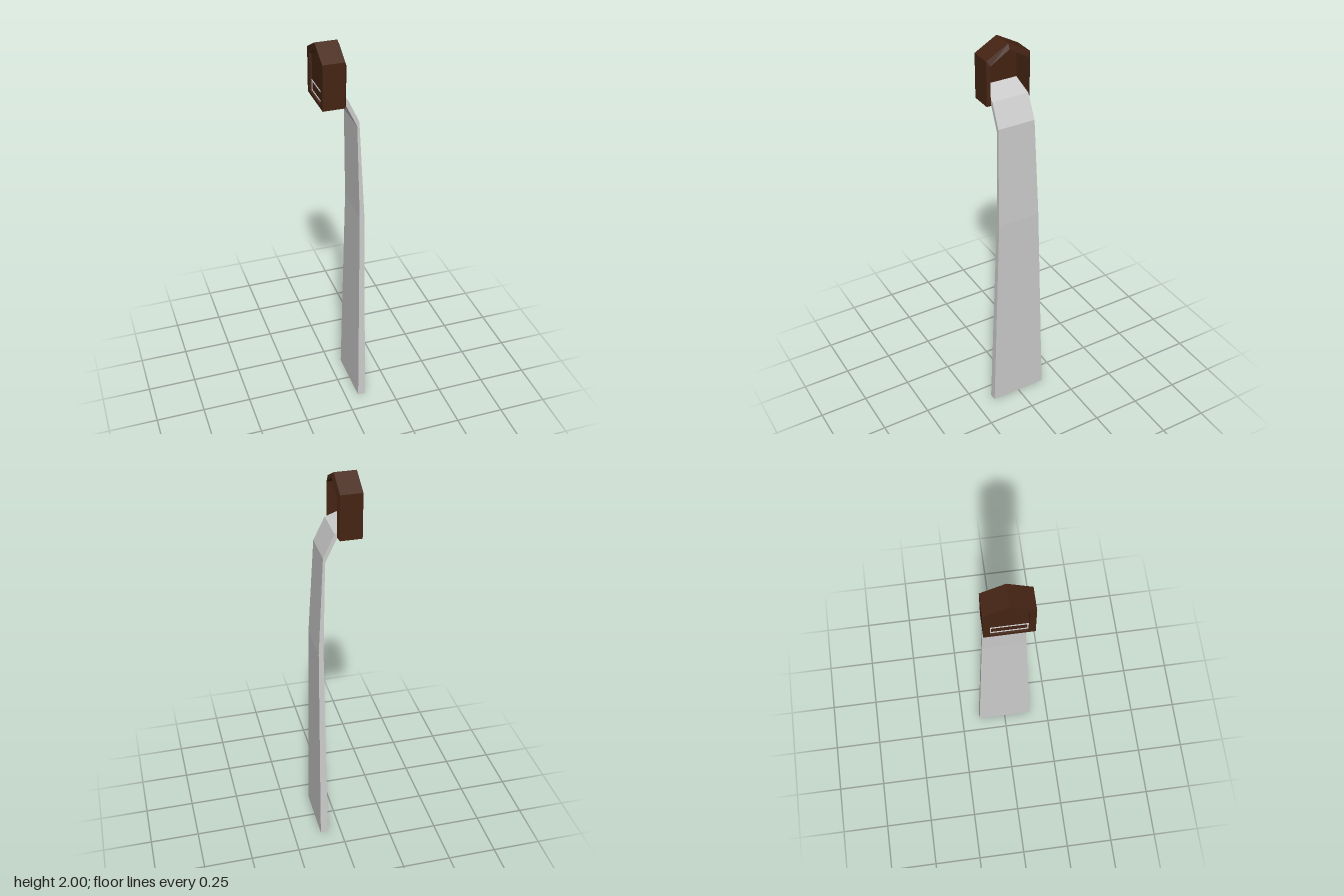
import * as THREE from 'three';

// Skin a list of equal-length rings of [x, y, z] points with flat quads.
function loft(rings) {
  const pos = [];
  for (let i = 0; i < rings.length - 1; i++) {
    const n = rings[i].length;
    for (let j = 0; j < n; j++) {
      const k = (j + 1) % n;
      const a = rings[i][j], b = rings[i][k], c = rings[i + 1][k], d = rings[i + 1][j];
      pos.push(...a, ...b, ...c, ...a, ...c, ...d);
    }
  }
  const g = new THREE.BufferGeometry();
  g.setAttribute('position', new THREE.Float32BufferAttribute(pos, 3));
  g.computeVertexNormals();
  return g;
}

// House-shaped section at x: half width, floor, eaves and ridge heights.
const gable = (x, h, floor, eave, ridge) =>
  [[x, floor, -h], [x, eave, -h], [x, ridge, 0], [x, eave, h], [x, floor, h]];

// Rectangular section between an outer and an inner point of the path.
const slab = ([ox, oy, ix, iy, h]) =>
  [[ox, oy, -h], [ox, oy, h], [ix, iy, h], [ix, iy, -h]];

const point = (x, y, n) => Array.from({ length: n }, () => [x, y, 0]);

export function createModel() {
  const model = new THREE.Group();
  const brown = new THREE.MeshStandardMaterial({ color: 0x452413, flatShading: true, side: THREE.DoubleSide });
  const grey = new THREE.MeshStandardMaterial({ color: 0xcccccc, flatShading: true, side: THREE.DoubleSide });
  const add = (name, geometry, material) => {
    const mesh = new THREE.Mesh(geometry, material);
    mesh.name = name;
    model.add(mesh);
    return mesh;
  };

  // Gabled spout: shallow recess at the back, deep opening with a bevelled lip
  add('spout', loft([
    point(-0.096, 1.84, 5),
    gable(-0.096, 0.083, 1.732, 1.915, 1.967),
    gable(-0.108, 0.083, 1.732, 1.915, 1.967),
    gable(-0.108, 0.113, 1.715, 1.938, 2.0),
    gable(-0.002, 0.113, 1.715, 1.938, 2.0),
    gable(0.008, 0.097, 1.728, 1.915, 1.975),
    gable(-0.09, 0.094, 1.728, 1.915, 1.975),
    point(-0.09, 1.84, 5),
  ]), brown);

  // Falling sheet: outer x, outer y, inner x, inner y, half width
  const path = [
    [-0.088, 1.782, -0.088, 1.732, 0.093],
    [0.018, 1.744, 0.002, 1.731, 0.094],
    [0.073, 1.628, 0.063, 1.605, 0.096],
    [0.1, 1.12, 0.076, 1.12, 0.11],
    [0.107, 0, 0.068, 0, 0.149],
  ];
  add('fallingSheet', loft([point(-0.088, 1.757, 4), ...path.map(slab), point(0.088, 0, 4)]), grey);

  // Thin rectangular frame on the back of the spout
  const frame = new THREE.Shape([[-0.083, 1.732], [0.083, 1.732], [0.083, 1.786], [-0.083, 1.786]]
    .map(p => new THREE.Vector2(...p)));
  frame.holes.push(new THREE.Path([[-0.077, 1.738], [-0.077, 1.78], [0.077, 1.78], [0.077, 1.738]]
    .map(p => new THREE.Vector2(...p))));
  const inlet = add('inletFrame', new THREE.ExtrudeGeometry(frame, { depth: 0.004, bevelEnabled: false }), grey);
  inlet.rotation.y = -Math.PI / 2;
  inlet.position.x = -0.095;

  return model;
}
